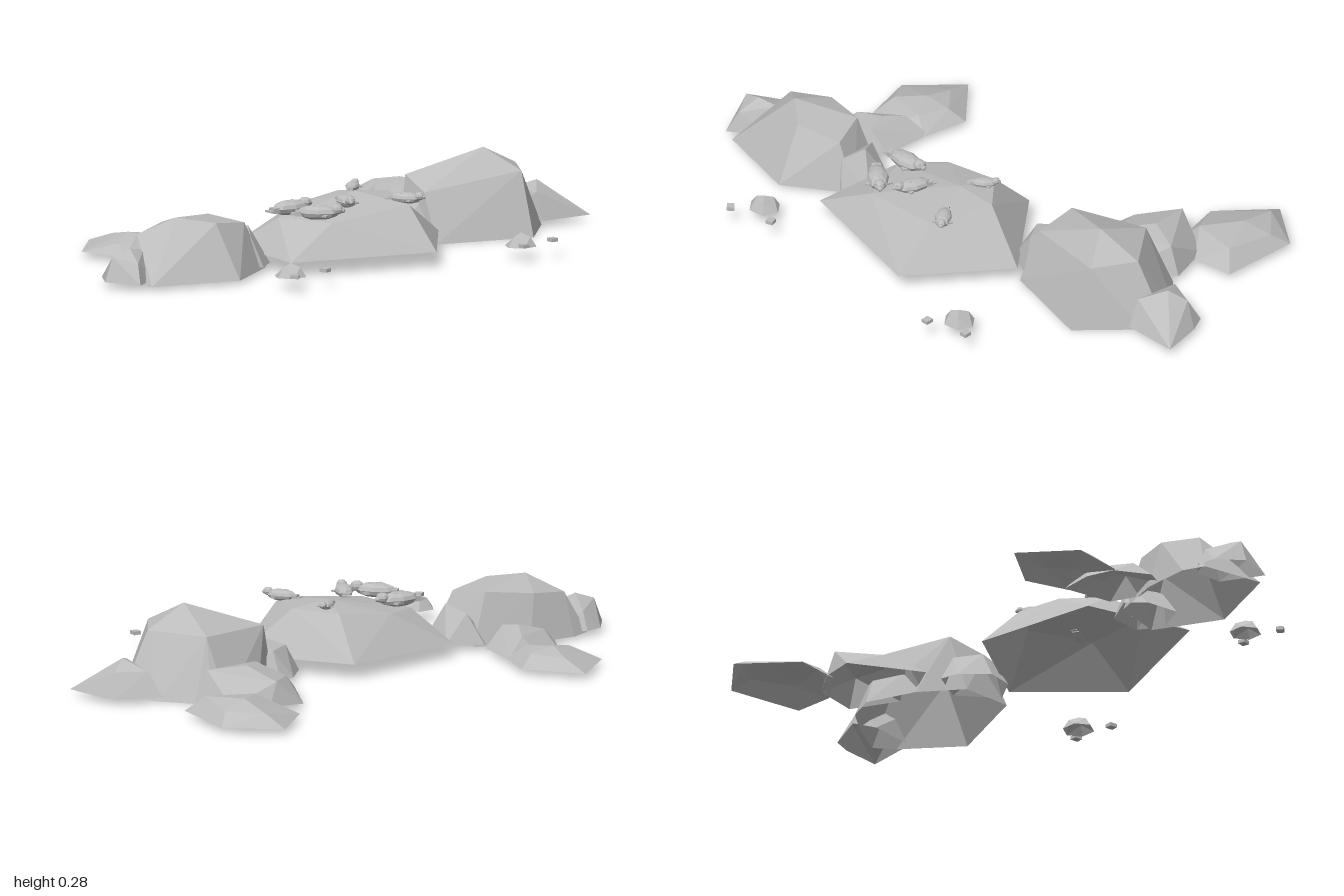
import * as THREE from 'three';
import { ConvexGeometry } from 'three/addons/geometries/ConvexGeometry.js';

const stone = new THREE.MeshStandardMaterial({ color: 0xbcbcbc, flatShading: true, side: THREE.DoubleSide });
stone.name = 'stone grey';

// Faceted boulder: base outline [x, z] at height y0 plus crown points [x, y, z]; open underneath
function rock(name, y0, outline, crown) {
  const pts = outline.map(([x, z]) => new THREE.Vector3(x, y0, z));
  crown.forEach((p) => pts.push(new THREE.Vector3(...p)));
  const src = new ConvexGeometry(pts).attributes.position;
  const kept = [];
  for (let i = 0; i < src.count; i += 3) {
    if ([0, 1, 2].every((k) => src.getY(i + k) < y0 + 1e-4)) continue;
    for (let k = 0; k < 3; k++) kept.push(src.getX(i + k), src.getY(i + k), src.getZ(i + k));
  }
  const geo = new THREE.BufferGeometry();
  geo.setAttribute('position', new THREE.Float32BufferAttribute(kept, 3));
  geo.computeVertexNormals();
  const mesh = new THREE.Mesh(geo, stone);
  mesh.name = name;
  return mesh;
}

function part(name, geo, [x, y, z], [sx, sy, sz] = [1, 1, 1], ry = 0) {
  const mesh = new THREE.Mesh(geo, stone);
  mesh.name = name;
  mesh.position.set(x, y, z);
  mesh.scale.set(sx, sy, sz);
  mesh.rotation.y = ry;
  return mesh;
}

// Resting seal, one unit long, head toward +z
function seal([x, y, z], heading, length) {
  const g = new THREE.Group();
  g.name = 'restingSeal';
  const ball = new THREE.SphereGeometry(1, 8, 6);
  const box = new THREE.BoxGeometry(1, 1, 1);
  g.add(part('body', ball, [0, 0.1, 0], [0.21, 0.14, 0.4]));
  g.add(part('head', ball, [0, 0.16, 0.35], [0.12, 0.1, 0.13]));
  g.add(part('snout', ball, [0, 0.14, 0.45], [0.06, 0.05, 0.06]));
  g.add(part('tailStem', box, [0, 0.08, -0.35], [0.18, 0.1, 0.16]));
  for (const s of [-1, 1]) {
    g.add(part('frontFlipper', box, [s * 0.19, 0.06, 0.14], [0.1, 0.035, 0.1], s * 0.5));
    g.add(part('tailFlipper', box, [s * 0.05, 0.07, -0.45], [0.09, 0.035, 0.12]));
    g.add(part('eye', ball, [s * 0.06, 0.22, 0.41], [0.02, 0.02, 0.02]));
    g.add(part('backSpot', ball, [s * 0.06, 0.225, s * 0.09], [0.025, 0.015, 0.025]));
  }
  g.scale.setScalar(length);
  g.rotation.y = heading;
  g.position.set(x, y, z);
  return g;
}

export function createModel() {
  const model = new THREE.Group();
  model.name = 'sealRocks';

  // Central basking rock
  model.add(rock('baskingRock', 0.05,
    [[-0.09, -0.08], [0.22, -0.34], [0.53, -0.1], [0.4, 0.4], [0.02, 0.35]],
    [[0.18, 0.21, -0.03], [0.16, 0.15, 0.27], [0.36, 0.155, 0.2], [0.38, 0.185, -0.1], [0.17, 0.195, -0.17], [0.05, 0.19, -0.06], [0.06, 0.165, 0.14]]));

  // Rear cluster
  model.add(rock('rearBoulder', 0,
    [[-0.05, -0.79], [0.06, -0.87], [0.13, -0.83], [0.3, -0.67], [0.21, -0.34], [0.03, -0.32], [-0.09, -0.44], [-0.17, -0.6], [-0.14, -0.7]],
    [[0.105, 0.28, -0.61], [-0.085, 0.205, -0.63], [0, 0.2, -0.37], [0.13, 0.16, -0.35], [0.22, 0.21, -0.68], [0.08, 0.21, -0.76], [-0.125, 0.1, -0.64]]));
  model.add(rock('rearTipRock', 0.02,
    [[-0.08, -0.79], [-0.03, -0.94], [0.03, -0.97], [0.17, -1], [0.17, -0.81], [0, -0.77]],
    [[0.05, 0.135, -0.87], [-0.03, 0.1, -0.82], [0.13, 0.11, -0.81], [0.01, 0.1, -0.92]]));
  model.add(rock('rearSideRock', 0.02,
    [[-0.38, -0.43], [-0.37, -0.55], [-0.31, -0.66], [-0.155, -0.71], [-0.06, -0.56], [-0.09, -0.42], [-0.13, -0.33]],
    [[-0.21, 0.127, -0.55], [-0.36, 0.1, -0.52], [-0.16, 0.115, -0.67], [-0.11, 0.11, -0.46], [-0.24, 0.085, -0.42]]));
  model.add(rock('rearFlatRock', 0.02,
    [[-0.67, -0.66], [-0.55, -0.83], [-0.28, -0.82], [-0.26, -0.68], [-0.34, -0.55], [-0.5, -0.51]],
    [[-0.47, 0.086, -0.7], [-0.6, 0.06, -0.69], [-0.5, 0.06, -0.79], [-0.33, 0.075, -0.77], [-0.36, 0.07, -0.6]]));
  model.add(rock('rearLinkRock', 0.02,
    [[-0.06, -0.34], [-0.04, -0.28], [0.05, -0.21], [0.14, -0.24], [0.19, -0.34], [0.05, -0.42]],
    [[-0.01, 0.11, -0.34], [0.05, 0.11, -0.26], [0.14, 0.13, -0.32]]));

  // Front cluster
  model.add(rock('frontBoulder', 0.012,
    [[0.08, 0.46], [0.25, 0.39], [0.39, 0.6], [0.31, 0.9], [0.09, 0.89], [0.05, 0.82], [0.04, 0.65]],
    [[0.2, 0.208, 0.72], [0.07, 0.17, 0.68], [0.11, 0.185, 0.52], [0.24, 0.17, 0.47], [0.285, 0.19, 0.62], [0.12, 0.15, 0.82]]));
  model.add(rock('frontTipRock', 0.02,
    [[0.07, 0.88], [0.11, 0.82], [0.21, 0.81], [0.3, 0.94], [0.18, 0.995], [0.09, 0.94]],
    [[0.19, 0.122, 0.9], [0.1, 0.08, 0.88], [0.26, 0.085, 0.92], [0.18, 0.1, 0.965], [0.17, 0.11, 0.83]]));
  model.add(rock('frontLinkRock', 0.02,
    [[0.06, 0.49], [0.11, 0.37], [0.22, 0.35], [0.28, 0.42], [0.24, 0.54], [0.12, 0.54]],
    [[0.11, 0.12, 0.45], [0.18, 0.145, 0.41], [0.25, 0.12, 0.45]]));
  model.add(rock('frontSideRock', 0.02,
    [[-0.16, 0.46], [0.02, 0.47], [0.07, 0.56], [0.06, 0.68], [0, 0.72], [-0.12, 0.67], [-0.16, 0.58]],
    [[-0.04, 0.102, 0.56], [-0.12, 0.08, 0.53], [0.03, 0.09, 0.54], [-0.03, 0.075, 0.66]]));
  model.add(rock('frontFlatRock', 0.02,
    [[-0.46, 0.58], [-0.3, 0.43], [-0.14, 0.46], [-0.09, 0.58], [-0.12, 0.68], [-0.3, 0.73]],
    [[-0.26, 0.075, 0.57], [-0.36, 0.055, 0.56], [-0.27, 0.06, 0.48], [-0.17, 0.065, 0.52], [-0.2, 0.055, 0.66]]));

  // Outlying stones, each with two pebbles
  const stones = [
    [0.565, -0.418, [[0.622, -0.505, 0], [0.657, -0.362, 0]]],
    [0.545, 0.51, [[0.609, 0.416, 0.3], [0.645, 0.567, 0.75]]],
  ];
  for (const [x, z, pebbles] of stones) {
    const ring = [0, 1, 2, 3, 4, 5].map((i) => [Math.cos(i * 1.047 + 0.4), Math.sin(i * 1.047 + 0.4)]);
    model.add(rock('outlyingStone', 0.04,
      ring.map(([c, s]) => [x + c * 0.052, z + s * 0.056]),
      [[x, 0.085, z], ...ring.filter((_, i) => i % 2).map(([c, s]) => [x + c * 0.033, 0.072, z + s * 0.033])]));
    for (const [px, pz, turn] of pebbles) {
      model.add(part('pebble', new THREE.BoxGeometry(0.027, 0.012, 0.025), [px, 0.06, pz], [1, 1, 1], turn));
    }
  }

  // Seals on the basking rock
  model.add(
    seal([0.11, 0.2, -0.072], -2.4, 0.11),
    seal([0.34, 0.187, -0.115], 2.23, 0.135),
    seal([0.28, 0.19, 0.085], 1.2, 0.15),
    seal([0.17, 0.165, 0.23], Math.PI, 0.175),
    seal([0.31, 0.168, 0.22], 2.45, 0.175),
  );
  return model;
}
